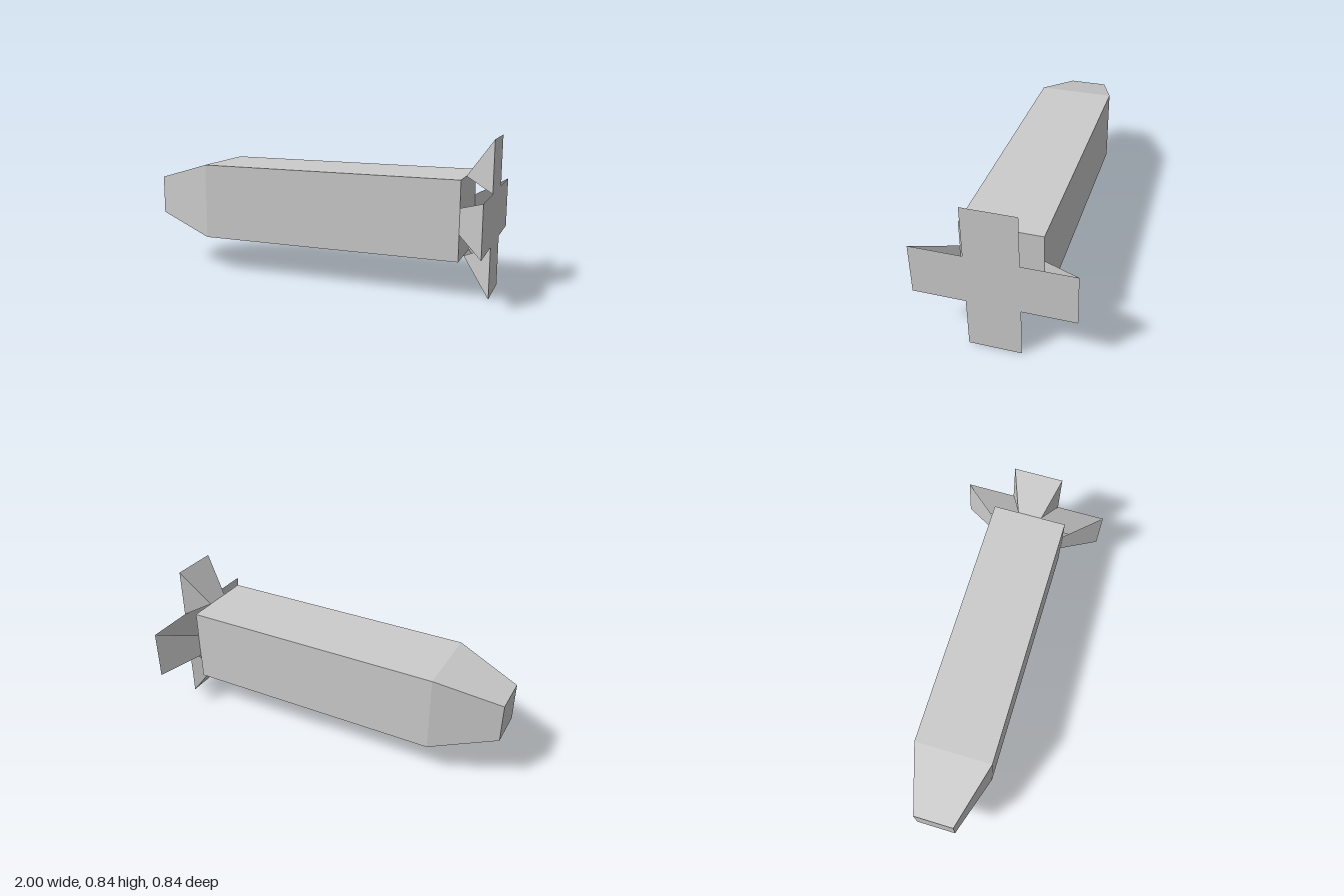
import * as THREE from 'three';

const CENTRE_Y = 0.42, HALF = 0.215, NOSE_HALF = 0.11;
const REAR_X = 0.85, TAIL_X = 1, ARM = 0.14, REACH = 0.42, ROOT = 0.07;

const material = new THREE.MeshStandardMaterial({
  color: 0xcccccc, flatShading: true, side: THREE.DoubleSide,
});

function addMesh(group, name, geometry) {
  const mesh = new THREE.Mesh(geometry, material);
  mesh.name = name;
  group.add(mesh);
  return mesh;
}

// Square hull with a tapered, blunt nose
function hullGeometry() {
  const g = new THREE.BoxGeometry(2, 2, 2, 2, 1, 1);
  const p = g.attributes.position;
  for (let i = 0; i < p.count; i++) {
    const station = Math.round(p.getX(i)) + 1;
    const half = station === 0 ? NOSE_HALF : HALF;
    p.setXYZ(i, [-1, -0.64, REAR_X][station], p.getY(i) * half, p.getZ(i) * half);
  }
  g.computeVertexNormals();
  return g;
}

// Fin flaring outward from the hull edge; cheeks close its two sides
function finGeometry(withCheeks) {
  const a = [REAR_X, HALF, ROOT], b = [REAR_X, HALF, -ROOT];
  const c = [TAIL_X, REACH, ARM], d = [TAIL_X, REACH, -ARM];
  const e = [TAIL_X, ARM, ARM], f = [TAIL_X, ARM, -ARM];
  const faces = [a, c, d, a, d, b];
  if (withCheeks) faces.push(a, e, c, b, d, f);
  const g = new THREE.BufferGeometry();
  g.setAttribute('position', new THREE.Float32BufferAttribute(faces.flat(), 3));
  g.computeVertexNormals();
  return g;
}

// Flat cross-shaped plate at the tail
function crossGeometry() {
  const a = ARM, r = REACH;
  const shape = new THREE.Shape([
    [a, a], [a, r], [-a, r], [-a, a], [-r, a], [-r, -a],
    [-a, -a], [-a, -r], [a, -r], [a, -a], [r, -a], [r, a],
  ].map(([x, y]) => new THREE.Vector2(x, y)));
  return new THREE.ShapeGeometry(shape).rotateY(Math.PI / 2).translate(TAIL_X, 0, 0);
}

export function createModel() {
  const model = new THREE.Group();
  model.name = 'finnedBody';
  const parts = new THREE.Group();
  parts.name = 'bodyAndTail';
  parts.position.y = CENTRE_Y;
  model.add(parts);

  addMesh(parts, 'hull', hullGeometry());
  addMesh(parts, 'tailPlate', crossGeometry());

  // Upright fins are closed at the sides, lateral fins are open
  ['topFin', 'frontFin', 'bottomFin', 'backFin'].forEach((name, i) => {
    addMesh(parts, name, finGeometry(i % 2 === 0)).rotation.x = i * Math.PI / 2;
  });
  return model;
}
